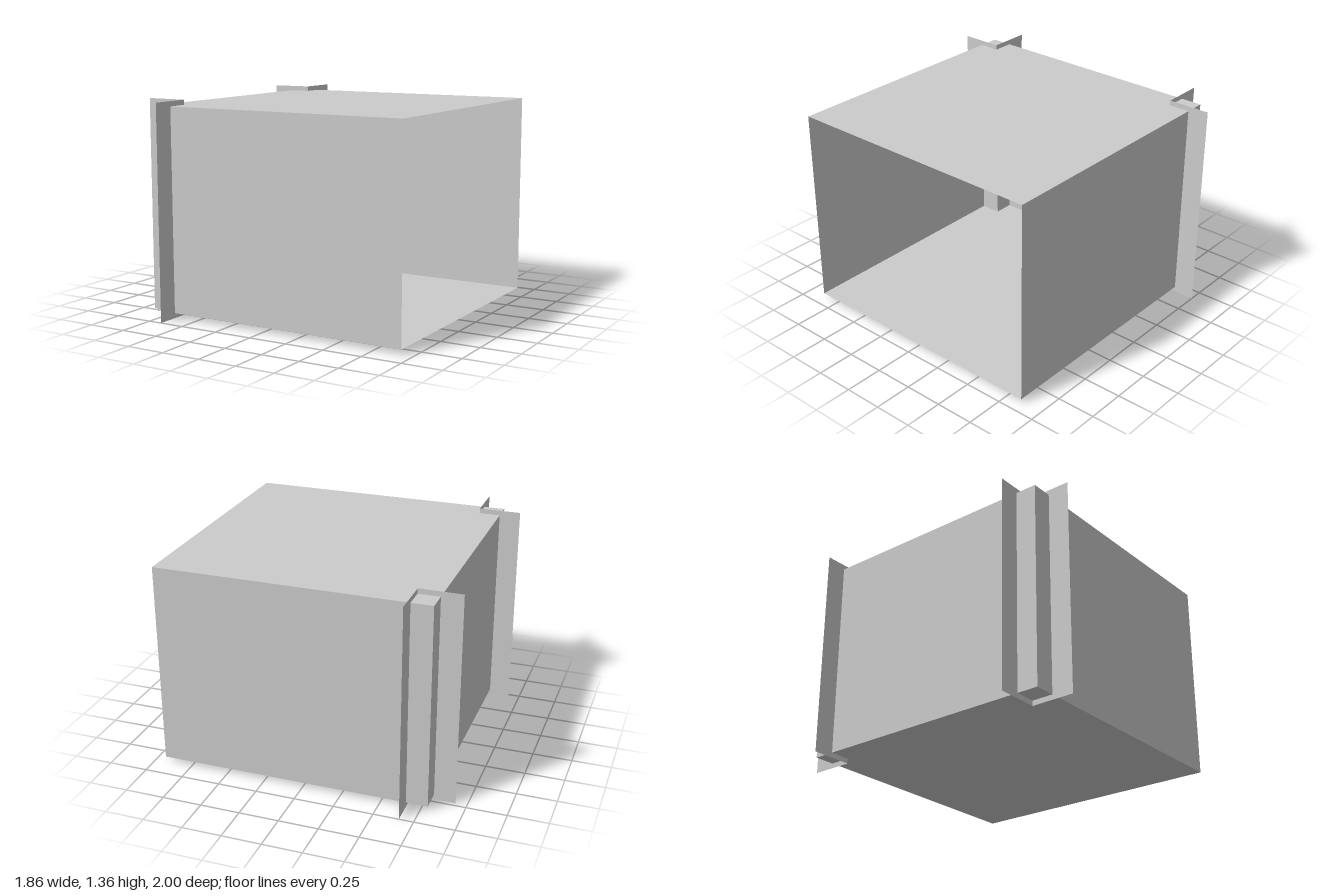
import * as THREE from 'three';

const material = new THREE.MeshStandardMaterial({ color: 0xcccccc, side: THREE.DoubleSide, flatShading: true });

// Thin flat sheet, turned and placed
function sheet(name, w, h, pos, rx = 0, ry = 0) {
  const mesh = new THREE.Mesh(new THREE.PlaneGeometry(w, h), material);
  mesh.name = name;
  mesh.position.set(...pos);
  mesh.rotation.set(rx, ry, 0);
  return mesh;
}

export function createModel() {
  const model = new THREE.Group();
  model.name = 'openBoxWithCornerBrackets';

  // Box shell, open on the +x side
  const x0 = -0.795, x1 = 0.93, y0 = 0.032, y1 = 1.324, d = 0.862;
  const w = x1 - x0, h = y1 - y0, cx = (x0 + x1) / 2, cy = (y0 + y1) / 2;
  const box = new THREE.Group();
  box.name = 'box';
  box.add(
    sheet('frontWall', w, h, [cx, cy, d]),
    sheet('backWall', w, h, [cx, cy, -d], 0, Math.PI),
    sheet('endWall', 2 * d, h, [x0, cy, 0], 0, -Math.PI / 2),
    sheet('topPanel', w, 2 * d, [cx, y1, 0], -Math.PI / 2),
    sheet('bottomPanel', w, 2 * d, [cx, y0, 0], Math.PI / 2),
  );
  model.add(box);

  // L-shaped brackets, each passing through the walls at a closed corner
  const height = 1.356, inX = -0.66, outX = -0.93, inZ = 0.725, outZ = 1;
  for (const s of [1, -1]) {
    const bracket = new THREE.Group();
    bracket.name = s > 0 ? 'frontBracket' : 'backBracket';
    bracket.add(
      sheet('sideFlange', inX - outX, height, [(inX + outX) / 2, height / 2, s * inZ]),
      sheet('faceFlange', outZ - inZ, height, [inX, height / 2, s * (inZ + outZ) / 2], 0, Math.PI / 2),
    );
    model.add(bracket);
  }
  return model;
}
